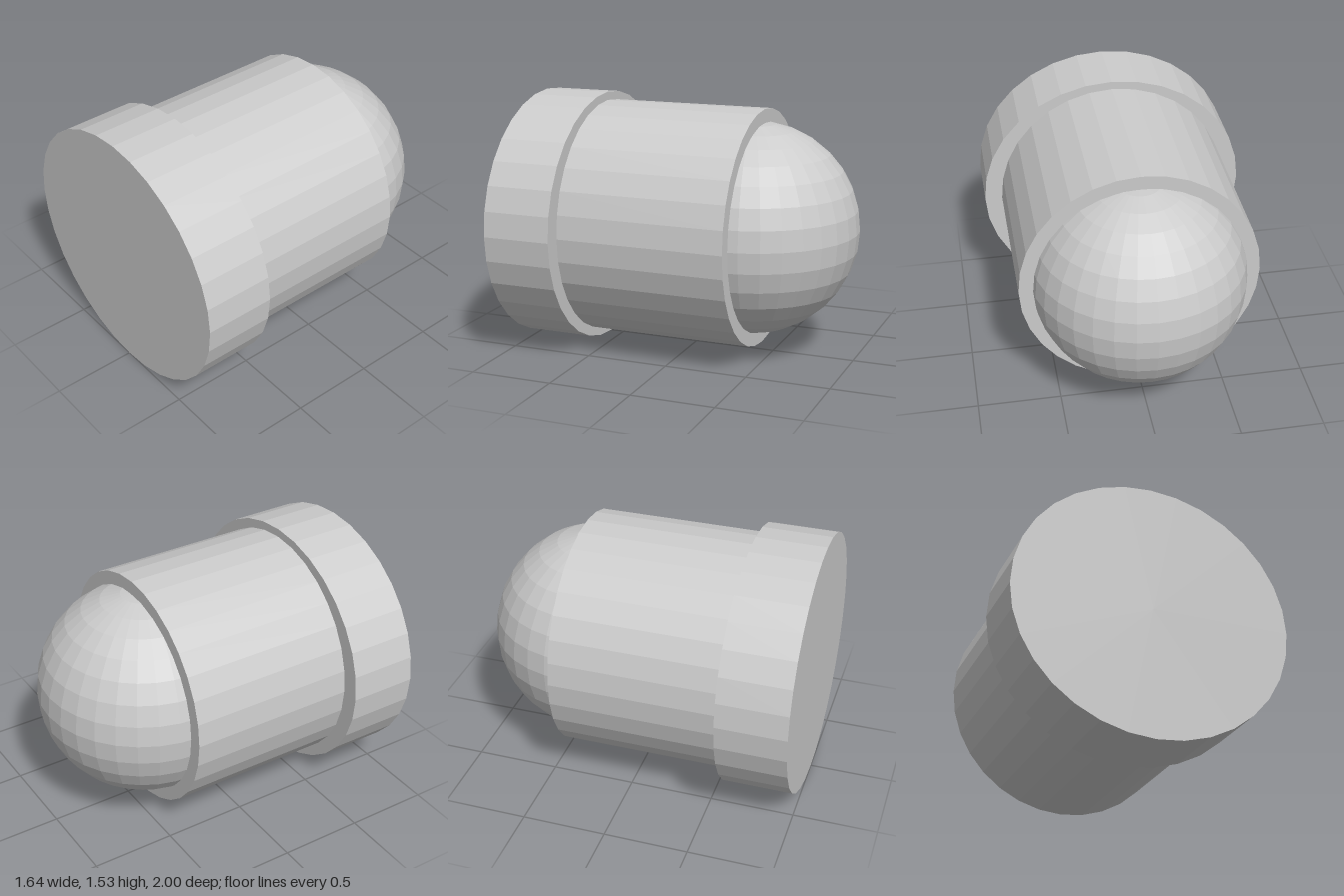
import * as THREE from 'three';

const CENTRE_Y = 0.763;

export function createModel() {
  const group = new THREE.Group();
  const material = new THREE.MeshStandardMaterial({ color: 0xcccccc, flatShading: true });

  function add(name, geometry, z) {
    const mesh = new THREE.Mesh(geometry, material);
    mesh.name = name;
    mesh.position.set(0, CENTRE_Y, z);
    group.add(mesh);
  }

  // 32-sided drum lying along z, with separate half-width and half-height
  function drum(name, rx, ry, zBack, zFront) {
    const geometry = new THREE.CylinderGeometry(1, 1, zFront - zBack, 32);
    geometry.rotateX(Math.PI / 2).scale(rx, ry, 1);
    add(name, geometry, (zBack + zFront) / 2);
  }

  // Slightly oval front flange
  drum('frontFlange', 0.82, 0.763, 0.585, 1);
  // Round main body
  drum('body', 0.713, 0.713, -0.43, 0.585);
  // Domed back end, a ball with upright poles set into the body
  add('backDome', new THREE.SphereGeometry(0.635, 32, 16), -0.365);

  return group;
}
